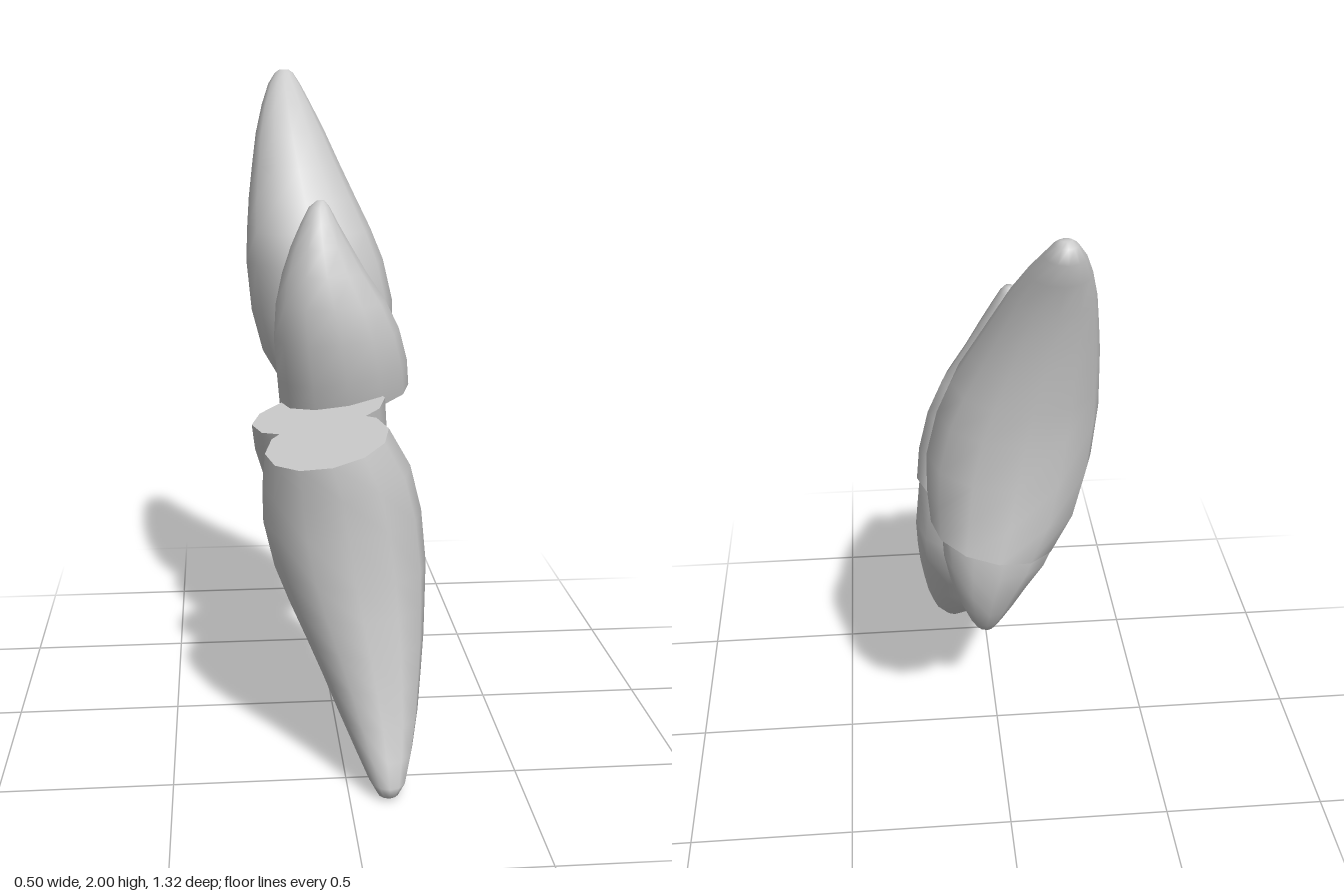
import * as THREE from 'three';

const SIDES = 12;

// Rows from base to tip: [y, xMin, xMax, zMin, zMax]
const LARGE = [
  [1.0, -0.135, 0.22, -0.56, -0.14],
  [1.12, -0.2, 0.228, -0.55, -0.12],
  [1.25, -0.235, 0.226, -0.542, -0.112],
  [1.4, -0.25, 0.195, -0.545, -0.12],
  [1.5, -0.246, 0.155, -0.555, -0.147],
  [1.6, -0.238, 0.108, -0.568, -0.215],
  [1.7, -0.225, 0.062, -0.585, -0.285],
  [1.8, -0.21, 0.018, -0.608, -0.36],
  [1.89, -0.187, -0.025, -0.635, -0.45],
  [1.955, -0.163, -0.058, -0.66, -0.53],
  [1.99, -0.14, -0.08, -0.645, -0.575],
  [2.0, -0.125, -0.095, -0.62, -0.595],
];
const SMALL = [
  [0.99, -0.155, 0.25, -0.26, 0.085],
  [1.1, -0.165, 0.24, -0.235, 0.122],
  [1.22, -0.176, 0.21, -0.19, 0.142],
  [1.32, -0.17, 0.165, -0.155, 0.142],
  [1.41, -0.15, 0.105, -0.128, 0.122],
  [1.49, -0.123, 0.058, -0.105, 0.098],
  [1.56, -0.092, 0.018, -0.07, 0.06],
  [1.605, -0.068, -0.005, -0.047, 0.022],
  [1.623, -0.045, -0.02, -0.03, 0.0],
];

// The base is cut by a slanted plane
const basePlane = (x, z) => 0.9835 + 0.19 * x - 0.085 * z;

function ringPoints(row, isBase) {
  const [y, x0, x1, z0, z1] = row;
  const fade = Math.max(0, 1 - (y - 1) / 0.35);
  const points = [];
  for (let i = 0; i < SIDES; i++) {
    const a = (i / SIDES) * Math.PI * 2;
    const x = (x0 + x1) / 2 + ((x1 - x0) / 2) * Math.cos(a);
    const z = (z0 + z1) / 2 + ((z1 - z0) / 2) * Math.sin(a);
    const slant = (basePlane(x, z) - 1) * fade;
    points.push([x, isBase ? basePlane(x, z) : y + slant, z]);
  }
  return points;
}

// sign -1 turns the shape through the centre point (0, 1, 0)
function makeGeometry(points, index, sign) {
  const positions = points.flatMap(([x, y, z]) => [x * sign, 1 + (y - 1) * sign, z * sign]);
  const faces = [];
  for (let i = 0; i < index.length; i += 3) {
    const [a, b, c] = index.slice(i, i + 3);
    faces.push(...(sign > 0 ? [a, b, c] : [a, c, b]));
  }
  const geometry = new THREE.BufferGeometry();
  geometry.setAttribute('position', new THREE.Float32BufferAttribute(positions, 3));
  geometry.setIndex(faces);
  geometry.computeVertexNormals();
  return geometry;
}

function makeSpike(name, rows, sign, material) {
  const group = new THREE.Group();
  group.name = name;

  // Curved wall, closed at the tip
  const rings = rows.map((row, r) => ringPoints(row, r === 0));
  const wall = rings.flat();
  const index = [];
  for (let r = 0; r < rows.length - 1; r++) {
    for (let i = 0; i < SIDES; i++) {
      const a = r * SIDES + i;
      const b = r * SIDES + ((i + 1) % SIDES);
      index.push(a, a + SIDES, b, b, a + SIDES, b + SIDES);
    }
  }
  const last = (rows.length - 1) * SIDES;
  const [ty, tx0, tx1, tz0, tz1] = rows[rows.length - 1];
  wall.push([(tx0 + tx1) / 2, ty, (tz0 + tz1) / 2]);
  for (let i = 0; i < SIDES; i++) {
    index.push(last + i, last + SIDES, last + ((i + 1) % SIDES));
  }
  const wallMesh = new THREE.Mesh(makeGeometry(wall, index, sign), material);
  wallMesh.name = name + 'Wall';

  // Flat slanted base with a sharp rim
  const baseIndex = [];
  for (let i = 1; i < SIDES - 1; i++) baseIndex.push(0, i, i + 1);
  const baseMesh = new THREE.Mesh(makeGeometry(rings[0], baseIndex, sign), material);
  baseMesh.name = name + 'Base';

  group.add(wallMesh, baseMesh);
  return group;
}

export function createModel() {
  const model = new THREE.Group();
  model.name = 'spikePairs';
  const material = new THREE.MeshStandardMaterial({ color: 0xcccccc });
  for (const [prefix, sign] of [['upper', 1], ['lower', -1]]) {
    const pair = new THREE.Group();
    pair.name = prefix + 'Pair';
    pair.add(
      makeSpike(prefix + 'LargeSpike', LARGE, sign, material),
      makeSpike(prefix + 'SmallSpike', SMALL, sign, material),
    );
    model.add(pair);
  }
  return model;
}
